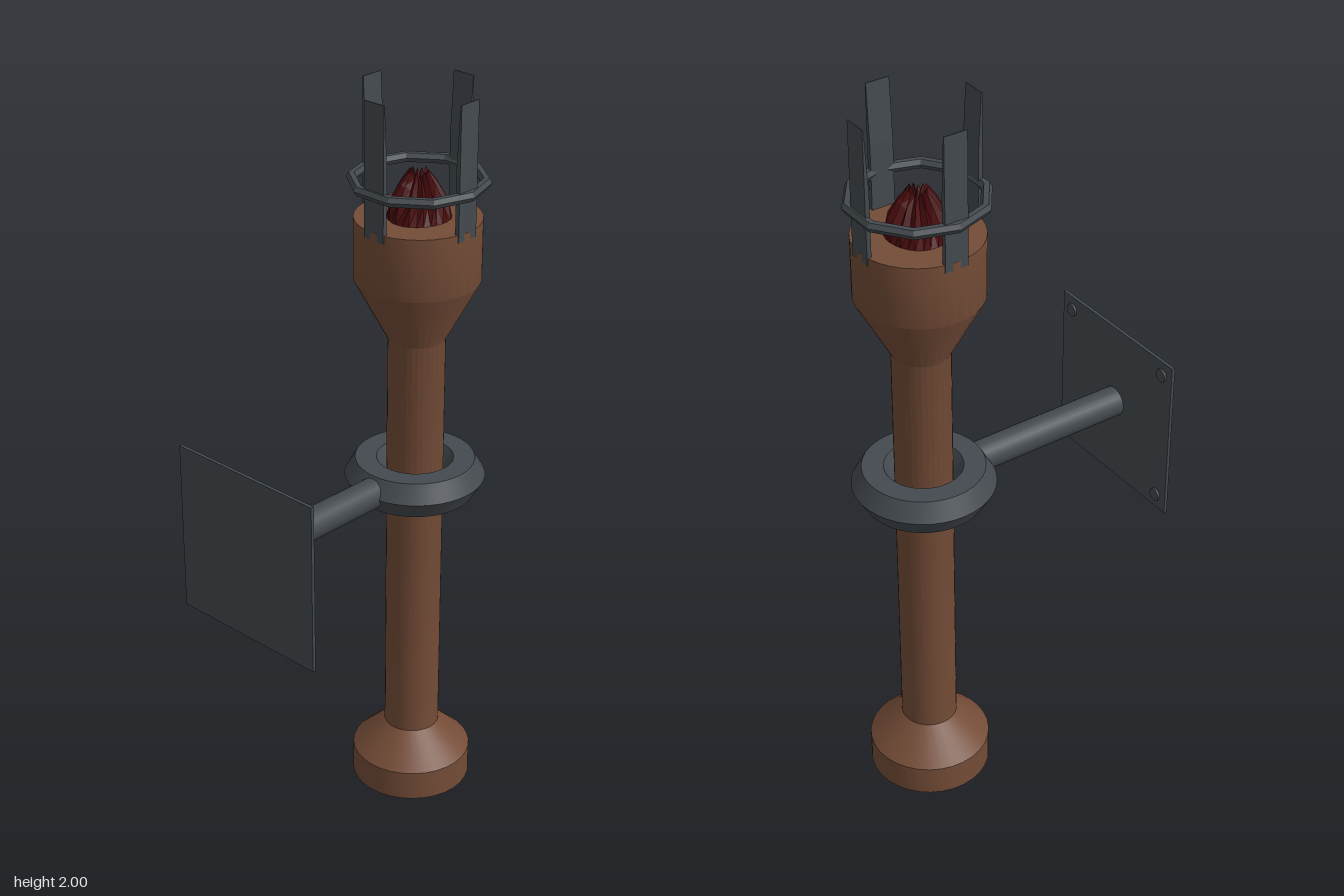
import * as THREE from 'three';
import { toCreasedNormals } from 'three/addons/utils/BufferGeometryUtils.js';

const wood = new THREE.MeshStandardMaterial({ color: 0x744c37 });
wood.name = 'brown wood';
const iron = new THREE.MeshStandardMaterial({ color: 0x444a4f });
iron.name = 'dark iron';
const ember = new THREE.MeshStandardMaterial({ color: 0x4a0b0d });
ember.name = 'dark red ember';

function add(parent, name, geometry, material, x = 0, y = 0, z = 0) {
  const mesh = new THREE.Mesh(geometry, material);
  mesh.name = name;
  mesh.position.set(x, y, z);
  parent.add(mesh);
  return mesh;
}

function lathe(points, segments) {
  const profile = points.map(([r, y]) => new THREE.Vector2(r, y));
  return toCreasedNormals(new THREE.LatheGeometry(profile, segments), 0.5);
}

// Fluted crown of ember: rings from the base up to jagged peaks, sinking at the middle
function emberGeometry() {
  const sides = 28;
  const rings = [[0.082, 0, 0], [0.066, 0.045, 0.004], [0.044, 0.085, 0.008], [0.023, 0.112, 0.013]];
  const positions = [], index = [];
  rings.forEach(([r, y, jag], k) => {
    for (let i = 0; i < sides; i++) {
      const a = (i / sides) * Math.PI * 2;
      const s = i % 2 ? -1 : 1;
      const radius = r * (1 + (k ? 0.09 * s : 0) + 0.03 * Math.sin(3 * a + 1));
      positions.push(Math.sin(a) * radius, y + jag * s * (0.7 + 0.3 * Math.cos(4 * a)), Math.cos(a) * radius);
    }
  });
  positions.push(0, 0.085, 0);
  const top = rings.length * sides;
  for (let k = 0; k < rings.length; k++) {
    for (let i = 0; i < sides; i++) {
      const j = (i + 1) % sides;
      const a = k * sides + i, b = k * sides + j;
      if (k === rings.length - 1) index.push(a, b, top);
      else index.push(a, b, b + sides, a, b + sides, a + sides);
    }
  }
  const g = new THREE.BufferGeometry();
  g.setAttribute('position', new THREE.Float32BufferAttribute(positions, 3));
  g.setIndex(index);
  return toCreasedNormals(g, 0.2);
}

export function createModel() {
  const model = new THREE.Group();
  model.name = 'wallTorch';

  const torch = new THREE.Group();
  torch.name = 'torch';
  torch.position.z = -0.217;
  model.add(torch);

  // Turned handle with flared foot and cup
  add(torch, 'handle', lathe([
    [0, 0], [0.163, 0], [0.163, 0.085], [0.075, 0.168], [0.075, 1.34],
    [0.163, 1.505], [0.163, 1.67], [0, 1.67],
  ], 32), wood);

  add(torch, 'ember', emberGeometry(), ember, 0, 1.669, 0);

  // Four upright blades, bevelled to a sharp outer top edge
  const bladeShape = new THREE.Shape([
    [0.15, 1.65], [0.162, 1.65], [0.162, 2], [0.159, 2], [0.15, 1.84],
  ].map(([x, y]) => new THREE.Vector2(x, y)));
  const blade = new THREE.ExtrudeGeometry(bladeShape, { depth: 0.064, bevelEnabled: false });
  blade.translate(0, 0, -0.032);
  for (let i = 0; i < 4; i++) {
    add(torch, 'cageBlade', blade, iron).rotation.y = i * Math.PI / 2;
  }

  // Ten-sided wire hoop around the blades
  const hoop = new THREE.TorusGeometry(0.168, 0.014, 6, 10);
  hoop.rotateX(Math.PI / 2);
  add(torch, 'cageHoop', toCreasedNormals(hoop, 0.5), iron, 0, 1.765, 0);

  // Holder ring with a six-sided section
  const collar = new THREE.TorusGeometry(0.13, 0.056, 6, 40);
  collar.rotateX(Math.PI / 2);
  add(torch, 'holderRing', toCreasedNormals(collar, 0.5), iron, 0, 0.947, 0);

  // Arm and mounting plate
  const arm = new THREE.CylinderGeometry(0.041, 0.041, 0.475, 24);
  arm.rotateX(Math.PI / 2);
  add(model, 'arm', arm, iron, 0, 0.948, 0.157);
  add(model, 'wallPlate', new THREE.BoxGeometry(0.46, 0.46, 0.009), iron, 0, 0.945, 0.3955);

  // Bolt heads on the plate corners
  const bolt = new THREE.CylinderGeometry(0.018, 0.018, 0.01, 16);
  bolt.rotateX(Math.PI / 2);
  for (const x of [-0.191, 0.191]) {
    for (const y of [-0.191, 0.191]) add(model, 'bolt', bolt, iron, x, 0.945 + y, 0.39);
  }
  return model;
}
